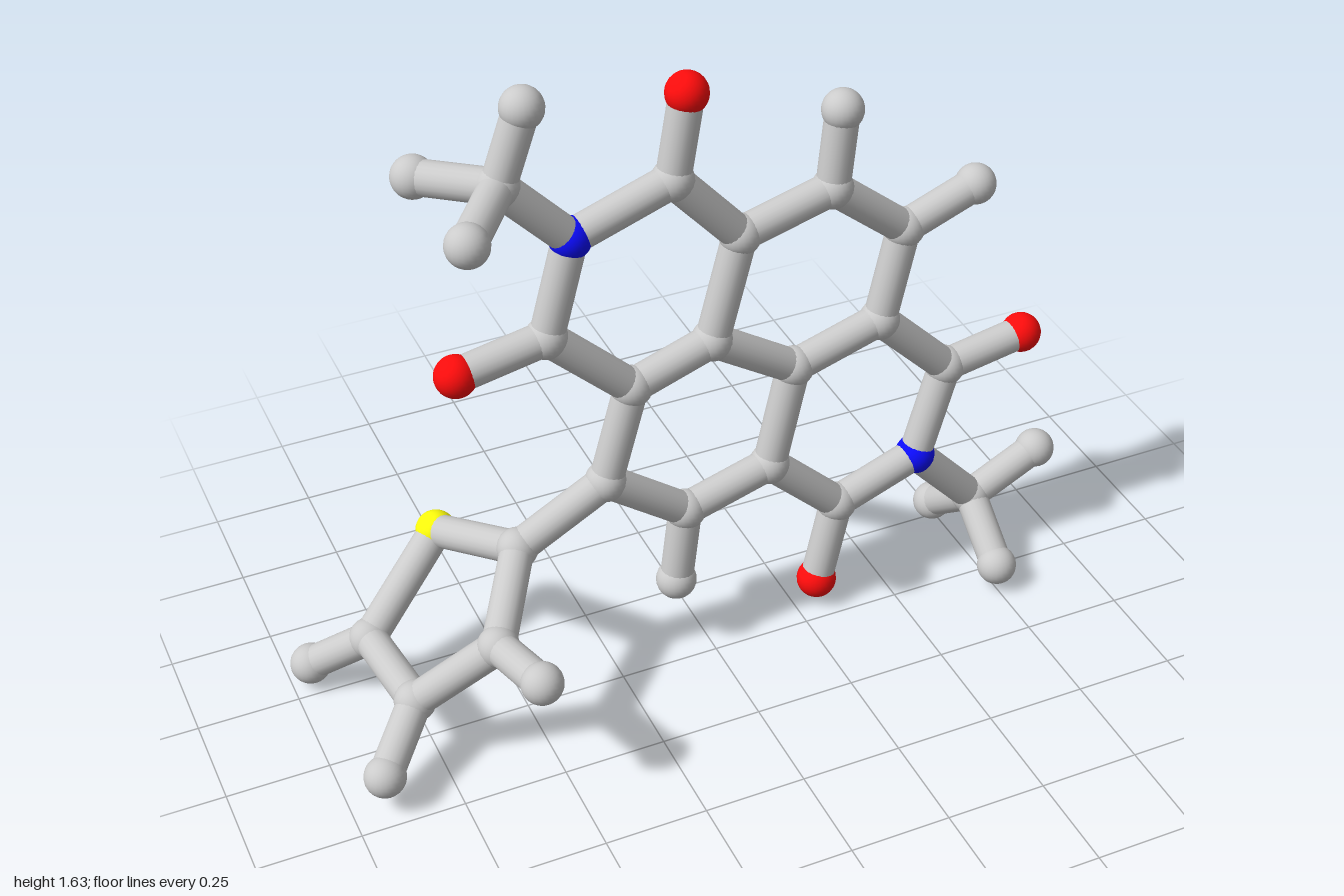
import * as THREE from 'three';

const BALL = 0.05, STICK = 0.041;

// Each atom: [x, y, z, names of earlier atoms it is bonded to]
const ATOMS = {
  // fused four-ring core
  C1: [-0.06, 1.32, -0.10, []],
  N1: [-0.31, 1.24, -0.09, ['C1']],
  C2: [-0.38, 1.00, -0.08, ['N1']],
  C3: [-0.18, 0.81, -0.075, ['C2']],
  C4: [0.03, 0.87, -0.09, ['C3']],
  C5: [0.105, 1.135, -0.10, ['C4', 'C1']],
  C6: [0.345, 1.19, -0.115, ['C5']],
  C7: [0.54, 1.03, -0.12, ['C6']],
  C8: [0.48, 0.79, -0.11, ['C7']],
  C9: [0.245, 0.73, -0.095, ['C8', 'C4']],
  C10: [0.18, 0.465, -0.085, ['C9']],
  C11: [-0.05, 0.41, -0.07, ['C10']],
  C12: [-0.255, 0.565, -0.065, ['C11', 'C3']],
  C13: [0.67, 0.60, -0.11, ['C8']],
  N2: [0.59, 0.36, -0.095, ['C13']],
  C14: [0.365, 0.29, -0.08, ['N2', 'C10']],
  // oxygens and hydrogens on the core
  O1: [-0.02, 1.525, -0.11, ['C1']],
  O2: [-0.60, 0.965, -0.07, ['C2']],
  O3: [0.885, 0.635, -0.115, ['C13']],
  O4: [0.31, 0.07, -0.07, ['C14']],
  H1: [0.37, 1.385, -0.125, ['C6']],
  H2: [0.73, 1.10, -0.125, ['C7']],
  H3: [-0.08, 0.21, -0.06, ['C11']],
  // upper methyl group
  C15: [-0.47, 1.41, -0.09, ['N1']],
  H4: [-0.405, 1.585, -0.095, ['C15']],
  H5: [-0.60, 1.395, 0.08, ['C15']],
  H6: [-0.61, 1.385, -0.245, ['C15']],
  // lower methyl group
  C16: [0.765, 0.17, -0.10, ['N2']],
  H7: [0.95, 0.26, -0.105, ['C16']],
  H8: [0.755, 0.065, 0.068, ['C16']],
  H9: [0.74, 0.05, -0.25, ['C16']],
  // five-sided side ring
  C17: [-0.48, 0.435, -0.07, ['C12']],
  S1: [-0.60, 0.34, -0.325, ['C17']],
  C18: [-0.82, 0.165, -0.21, ['S1']],
  C19: [-0.795, 0.18, 0.06, ['C18']],
  C20: [-0.61, 0.345, 0.14, ['C19', 'C17']],
  H10: [-0.95, 0.06, -0.297, ['C18']],
  H11: [-0.915, 0.093, 0.182, ['C19']],
  H12: [-0.57, 0.365, 0.318, ['C20']],
};

const KINDS = {
  C: ['carbon', 0xcccccc],
  H: ['hydrogen', 0xcccccc],
  N: ['nitrogen', 0x0c0cff],
  O: ['oxygen', 0xff0c0c],
  S: ['sulfur', 0xffff0c],
};

export function createModel() {
  const model = new THREE.Group();
  model.name = 'molecule';
  const atoms = new THREE.Group();
  atoms.name = 'atoms';
  const bonds = new THREE.Group();
  bonds.name = 'bonds';
  model.add(atoms, bonds);

  const ballGeometry = new THREE.SphereGeometry(BALL, 24, 16);
  const stickGeometry = new THREE.CylinderGeometry(STICK, STICK, 1, 20, 1, true);
  const materials = {};
  for (const kind in KINDS) materials[kind] = new THREE.MeshStandardMaterial({ color: KINDS[kind][1] });
  const up = new THREE.Vector3(0, 1, 0);
  const position = (name) => new THREE.Vector3(...ATOMS[name].slice(0, 3));

  for (const name in ATOMS) {
    // ball
    const end = position(name);
    const ball = new THREE.Mesh(ballGeometry, materials[name[0]]);
    ball.name = KINDS[name[0]][0] + 'Atom';
    ball.position.copy(end);
    atoms.add(ball);

    // sticks to its neighbours
    for (const other of ATOMS[name][3]) {
      const start = position(other);
      const along = end.clone().sub(start);
      const stick = new THREE.Mesh(stickGeometry, materials.C);
      stick.name = 'bond';
      stick.position.copy(start).lerp(end, 0.5);
      stick.scale.y = along.length();
      stick.quaternion.setFromUnitVectors(up, along.normalize());
      bonds.add(stick);
    }
  }
  return model;
}
